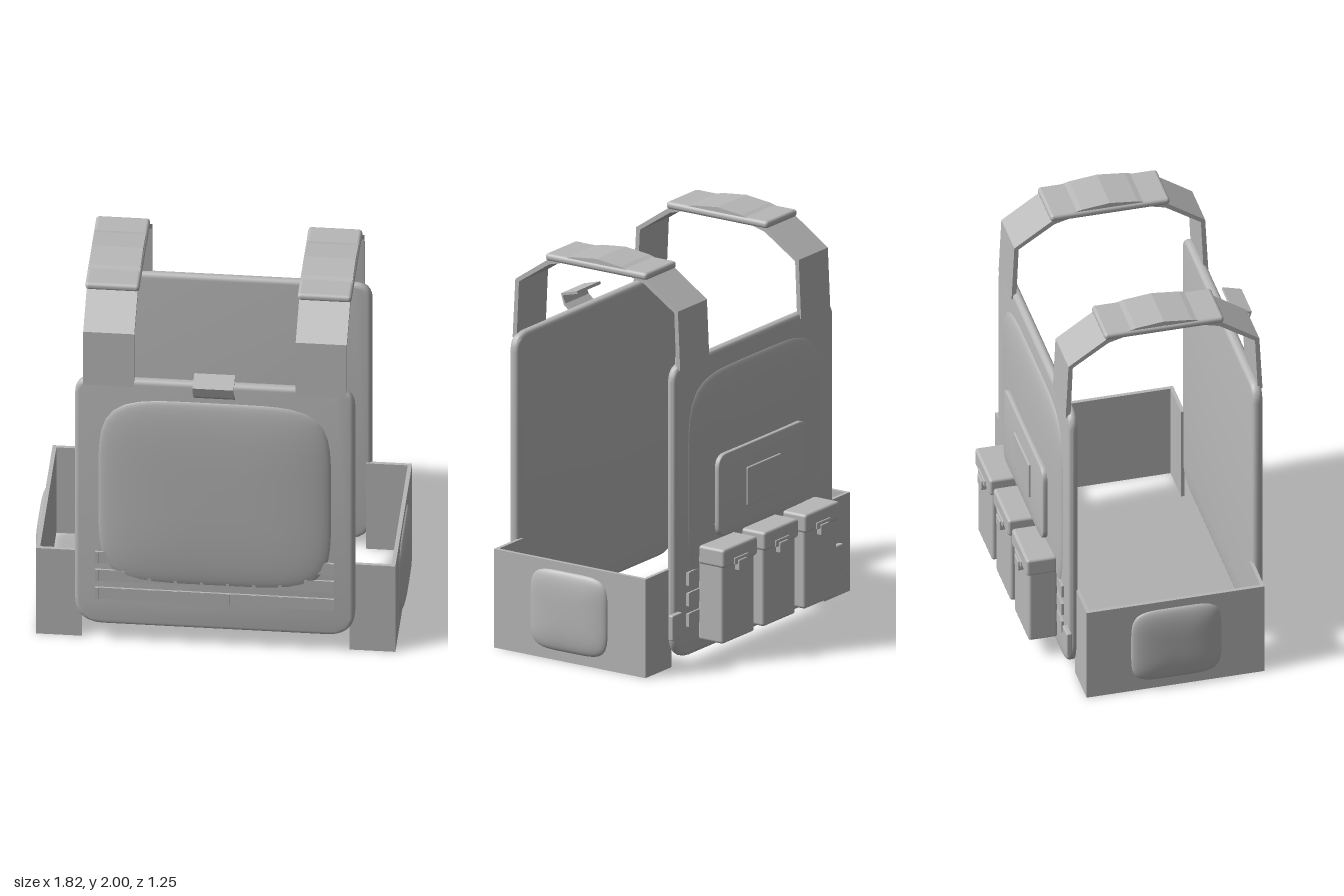
import * as THREE from 'three';
import { mergeVertices, toCreasedNormals } from 'three/addons/utils/BufferGeometryUtils.js';
import { RoundedBoxGeometry } from 'three/addons/geometries/RoundedBoxGeometry.js';

const grey = new THREE.MeshStandardMaterial({ color: 0xb8b8b8 });
grey.name = 'grey';

export function createModel() {
  const model = new THREE.Group();
  model.name = 'plateCarrierVest';

  const add = (name, geometry, parent = model) => {
    const mesh = new THREE.Mesh(geometry, grey);
    mesh.name = name;
    parent.add(mesh);
    return mesh;
  };

  // Box given by its bounds; r > 0 rounds the edges
  const box = (name, x0, x1, y0, y1, z0, z1, r = 0, parent = model) => {
    const w = x1 - x0, h = y1 - y0, d = z1 - z0;
    const g = r ? new RoundedBoxGeometry(w, h, d, 2, r) : new THREE.BoxGeometry(w, h, d);
    g.translate((x0 + x1) / 2, (y0 + y1) / 2, (z0 + z1) / 2);
    return add(name, g, parent);
  };

  // Flat slab with rounded corners (rt top, rb bottom) and rolled edges
  const slab = (name, hw, y0, y1, z0, z1, rt, rb, bevel) => {
    const x = hw - bevel, b = y0 + bevel, t = y1 - bevel;
    const s = new THREE.Shape();
    s.moveTo(-x + rb, b);
    s.lineTo(x - rb, b);
    s.quadraticCurveTo(x, b, x, b + rb);
    s.lineTo(x, t - rt);
    s.quadraticCurveTo(x, t, x - rt, t);
    s.lineTo(-x + rt, t);
    s.quadraticCurveTo(-x, t, -x, t - rt);
    s.lineTo(-x, b + rb);
    s.quadraticCurveTo(-x, b, -x + rb, b);
    const g = new THREE.ExtrudeGeometry(s, {
      depth: z1 - z0 - 2 * bevel, bevelSize: bevel, bevelThickness: bevel, bevelSegments: 3, curveSegments: 6,
    });
    g.translate(0, 0, z0 + bevel);
    return add(name, toCreasedNormals(g, 0.7), model);
  };

  // Soft pillow with a squarish outline, bulging toward +z
  const pillow = (name, hx, hy, depth) => {
    let g = new THREE.RingGeometry(0, 1, 64, 12);
    g.deleteAttribute('uv');
    g.deleteAttribute('normal');
    const p = g.attributes.position;
    for (let i = 0; i < p.count; i++) {
      const x = p.getX(i), y = p.getY(i), r = Math.min(1, Math.hypot(x, y));
      const c = r ? x / r : 0, s = r ? y / r : 0;
      const k = r ? 1 / Math.pow(Math.abs(c) ** 5 + Math.abs(s) ** 5, 0.2) : 0;
      const e = Math.sin(r * Math.PI / 2); // gathers rings near the rim
      p.setXYZ(i, c * k * e * hx, s * k * e * hy, depth * Math.sqrt(Math.max(0, 1 - e ** 3)));
    }
    g = mergeVertices(g, 1e-5);
    g.computeVertexNormals();
    return add(name, g);
  };

  // Flat band following [z, y] points, thickened to the right of travel
  const ribbon = (name, pts, thick, x0, x1, parent = model) => {
    const v = pts.map(([z, y]) => new THREE.Vector2(z, y));
    const inner = v.map((q, i) => {
      const a = v[Math.max(0, i - 1)], b = v[Math.min(v.length - 1, i + 1)];
      const d = b.clone().sub(a).normalize();
      return new THREE.Vector2(q.x - d.y * thick, q.y + d.x * thick);
    });
    const g = new THREE.ExtrudeGeometry(new THREE.Shape([...v, ...inner.reverse()]), {
      depth: x1 - x0, bevelEnabled: false,
    });
    g.rotateY(-Math.PI / 2).translate(x1, 0, 0);
    return add(name, g, parent);
  };

  // Main panels and their plate bulges
  slab('frontPanel', 0.685, 0.105, 1.545, 0.478, 0.53, 0.07, 0.12, 0.02);
  slab('backPanel', 0.685, 0.04, 1.545, -0.45, -0.402, 0.07, 0.12, 0.02);
  pillow('frontPlateBulge', 0.57, 0.54, 0.037).position.set(0, 0.9, 0.529);
  const backBulge = pillow('backPlateBulge', 0.57, 0.54, 0.035);
  backBulge.position.set(0, 0.9, -0.449);
  backBulge.rotation.y = Math.PI;

  // Webbing rows with stitched dividers
  const webbing = (name, y0, z0, z1, out) => {
    const row = new THREE.Group();
    row.name = name;
    model.add(row);
    box('webbingStrip', -0.585, 0.585, y0, y0 + 0.066, z0, z1, 0, row);
    for (let i = 0; i < 10; i++) {
      const x = -0.575 + i * 1.15 / 9;
      box('stitch', x - 0.008, x + 0.008, y0, y0 + 0.066, z0 + out, z1 + out, 0, row);
    }
  };
  for (let i = 0; i < 3; i++) {
    webbing('frontWebbing', 0.26 + i * 0.105, 0.525, 0.539, 0.004);
    webbing('backWebbing', 0.195 + i * 0.105, -0.46, -0.446, -0.004);
  }

  for (const s of [1, -1]) {
    const span = (a, b) => (s > 0 ? [a, b] : [-b, -a]);

    // Side guard: outer wall with two short returns, open above and below
    const guard = new THREE.Group();
    guard.name = s > 0 ? 'leftSideGuard' : 'rightSideGuard';
    model.add(guard);
    box('sideWall', ...span(0.86, 0.88), 0, 0.503, -0.412, 0.485, 0, guard);
    box('frontReturn', ...span(0.655, 0.861), 0, 0.503, 0.467, 0.485, 0, guard);
    box('backReturn', ...span(0.655, 0.861), 0, 0.503, -0.412, -0.394, 0, guard);
    const bulge = pillow('sideBulge', 0.228, 0.205, 0.033);
    bulge.position.set(s * 0.879, 0.255, 0.04);
    bulge.rotation.y = s * Math.PI / 2;

    // Shoulder strap and pad
    const strap = new THREE.Group();
    strap.name = s > 0 ? 'leftShoulderStrap' : 'rightShoulderStrap';
    model.add(strap);
    ribbon('strapBand', [[-0.456, 1.515], [-0.442, 1.815], [-0.25, 1.945], [-0.1, 1.985], [0.04, 2],
      [0.18, 1.985], [0.33, 1.945], [0.52, 1.815], [0.536, 1.515]].reverse(),
    0.024, ...span(0.395, 0.645), strap).geometry.computeBoundingBox();
    box('shoulderPad', ...span(0.387, 0.652), 1.94, 1.978, -0.26, 0.342, 0.017, strap);

    // Buckle on the rear edge
    box('rearBuckle', ...span(0.65, 0.735), 0.16, 0.29, -0.475, -0.445, 0.008);
  }

  // Folded pull tab at the top of the front panel
  ribbon('pullTab', [[0.515, 1.455], [0.608, 1.528], [0.625, 1.585], [0.53, 1.612]], 0.014, -0.1, 0.1);

  // Rear badge plate and patch
  const plate = slab('rearPlate', 0.38, 0.6, 1.02, -0.503, -0.47, 0.06, 0.06, 0.008);
  plate.renderOrder = 0;
  box('rearPatch', -0.145, 0.145, 0.71, 0.905, -0.513, -0.495, 0.006);

  // Three lidded pouches
  for (const x of [-0.353, 0, 0.353]) {
    const pouch = new THREE.Group();
    pouch.name = 'pouch';
    pouch.position.x = x;
    model.add(pouch);
    box('pouchBody', -0.138, 0.138, 0.105, 0.54, -0.602, -0.455, 0.015, pouch);
    box('pouchLid', -0.146, 0.146, 0.495, 0.59, -0.615, -0.46, 0.015, pouch);
    box('lidTab', -0.06, 0.06, 0.495, 0.53, -0.622, -0.6, 0.005, pouch);
    box('lidClip', -0.035, 0.035, 0.46, 0.515, -0.63, -0.598, 0.005, pouch);
  }

  return model;
}
